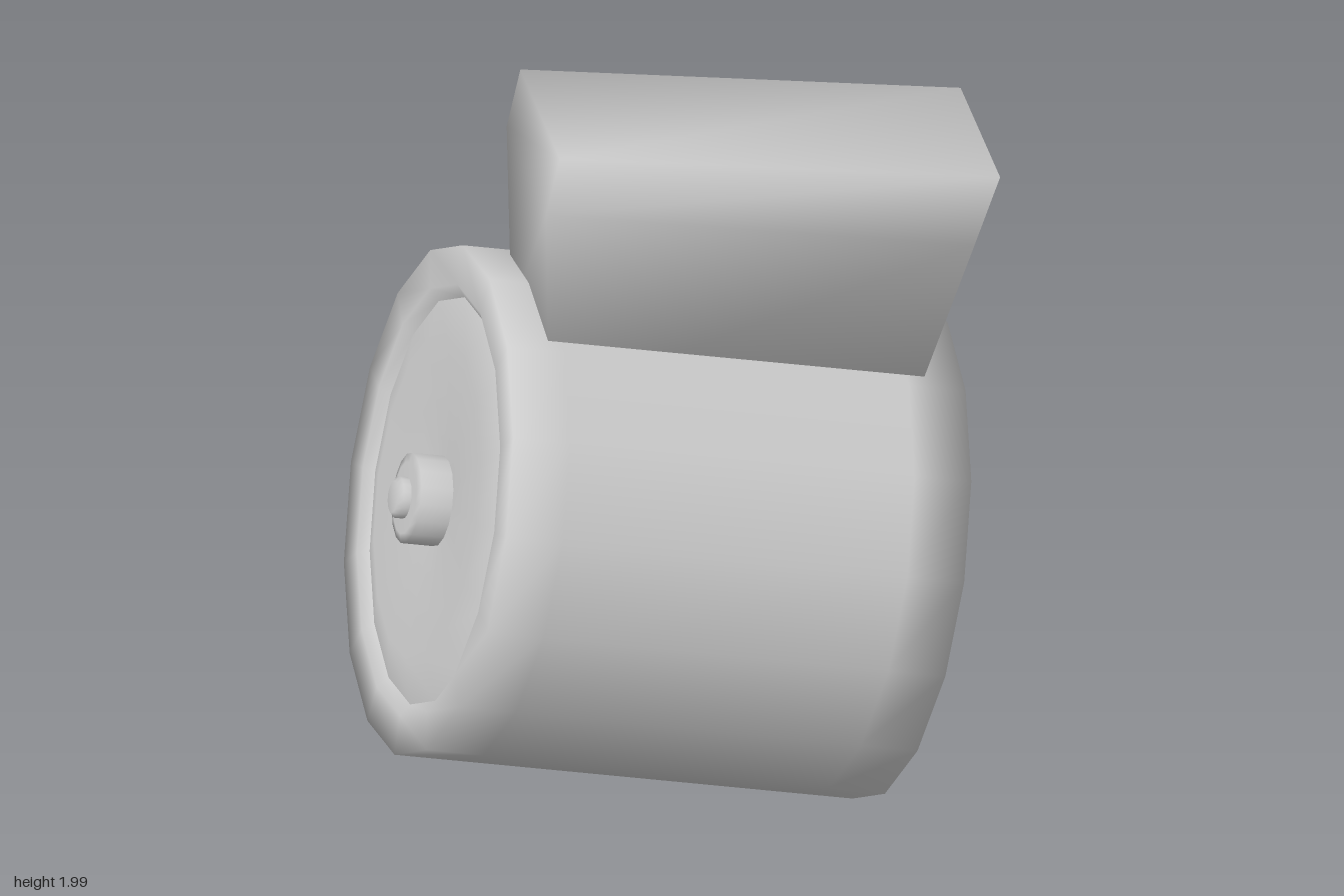
import * as THREE from 'three';

const material = new THREE.MeshStandardMaterial({ color: 0xcccccc, side: THREE.DoubleSide });

function addMesh(parent, name, geometry) {
  const mesh = new THREE.Mesh(geometry, material);
  mesh.name = name;
  parent.add(mesh);
}

// Turned part: profile pairs are [radius, distance along the drum axis]
function turned(parent, name, profile, sides = 16) {
  const points = profile.map(([r, t]) => new THREE.Vector2(r, t));
  addMesh(parent, name, new THREE.LatheGeometry(points, sides));
}

// Four-cornered block built from levels [xLeft, yLeft, xRight, yRight, halfDepth]
function block(levels) {
  const positions = [];
  const index = [];
  for (const [xl, yl, xr, yr, d] of levels) {
    positions.push(xl, yl, d, xr, yr, d, xr, yr, -d, xl, yl, -d);
  }
  for (let i = 0; i < levels.length - 1; i++) {
    for (let j = 0; j < 4; j++) {
      const a = i * 4 + j;
      const b = i * 4 + (j + 1) % 4;
      index.push(a, b, b + 4, a, b + 4, a + 4);
    }
  }
  const top = (levels.length - 1) * 4;
  index.push(top, top + 1, top + 2, top, top + 2, top + 3);
  index.push(0, 2, 1, 0, 3, 2);
  const geometry = new THREE.BufferGeometry();
  geometry.setAttribute('position', new THREE.Float32BufferAttribute(positions, 3));
  geometry.setIndex(index);
  geometry.computeVertexNormals();
  return geometry;
}

export function createModel() {
  const model = new THREE.Group();
  model.name = 'drumWithChute';

  // Tilted drum, with +y of the group running from the left end to the right end
  const drum = new THREE.Group();
  drum.name = 'drum';
  drum.position.set(-0.0425, 0.775, 0);
  drum.rotation.z = THREE.MathUtils.degToRad(-104.04);
  model.add(drum);

  turned(drum, 'drumShell', [
    [0.51, -0.575], [0.54, -0.598], [0.638, -0.598], [0.638, -0.45],
    [0.638, 0.45], [0.638, 0.598], [0.46, 0.598],
  ]);

  // Left end: shallow plate with a stepped hub
  turned(drum, 'endPlate', [[0, -0.57], [0.11, -0.572], [0.4, -0.603], [0.51, -0.575]]);
  turned(drum, 'hub', [[0, -0.66], [0.09, -0.66], [0.113, -0.655], [0.113, -0.56]]);
  turned(drum, 'hubKnob', [[0, -0.691], [0.04, -0.691], [0.052, -0.68], [0.052, -0.65]]);

  // Right end: raised ring around a dished cone and a small hub
  turned(drum, 'mouthRing', [[0.468, 0.59], [0.468, 0.645], [0.4, 0.65], [0.333, 0.645], [0.32, 0.62]]);
  turned(drum, 'mouthDish', [[0.333, 0.64], [0.1, 0.56], [0, 0.55]]);
  turned(drum, 'mouthHub', [[0.1, 0.55], [0.098, 0.6], [0.06, 0.61], [0.055, 0.63], [0, 0.635]]);

  // Flaring block rising out of the drum
  addMesh(model, 'chute', block([
    [-0.365, 1.3, 0.55, 1.13, 0.205],
    [-0.375, 1.84, 0.71, 1.6, 0.214],
    [-0.34, 2.0, 0.775, 1.79, 0.215],
  ]));

  return model;
}
